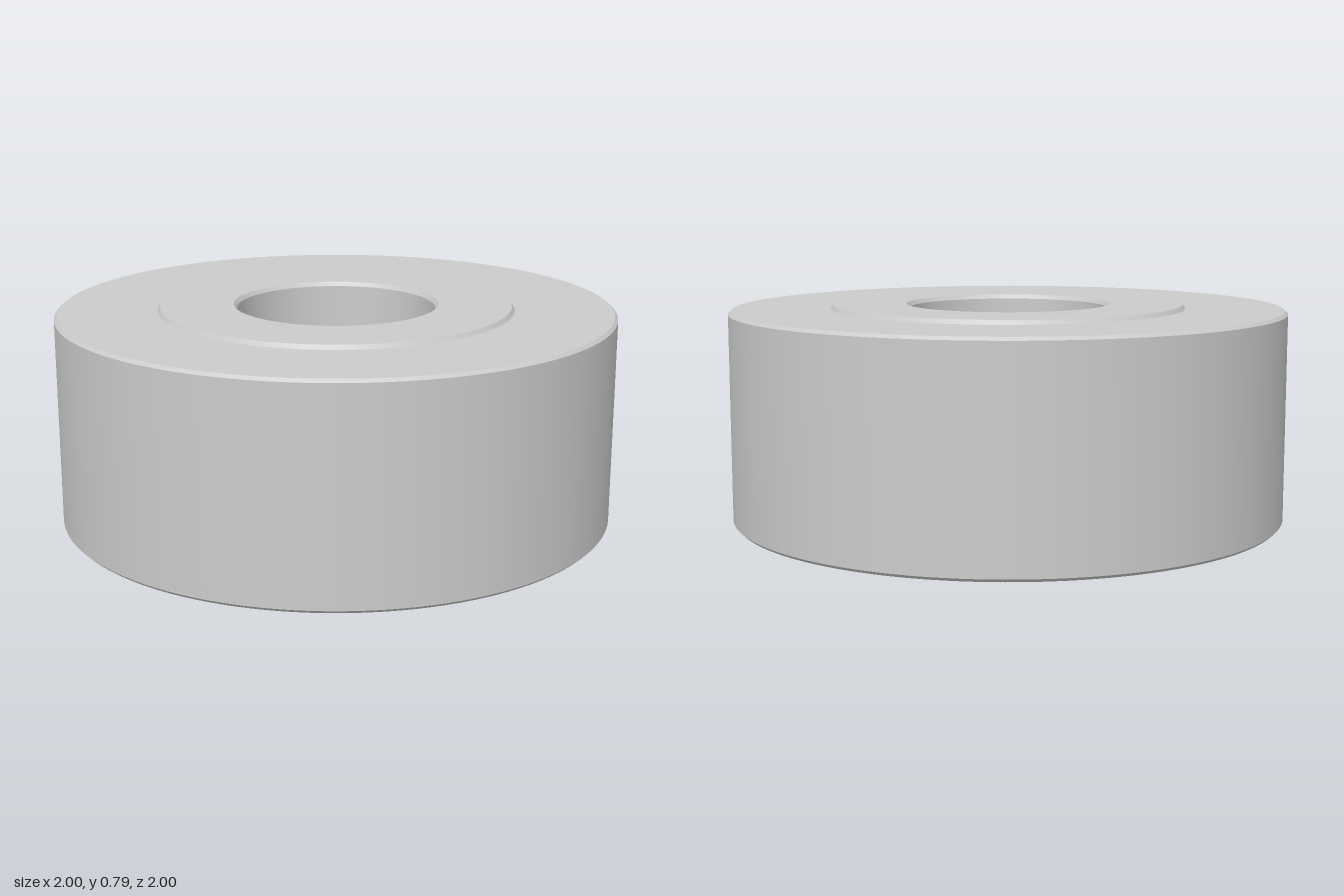
import * as THREE from 'three';
import { toCreasedNormals } from 'three/addons/utils/BufferGeometryUtils.js';

const HEIGHT = 0.79;
const STEP = 0.015;   // how far the hub faces stand proud of the rim faces
const OUTER = 1, HUB = 0.638, BORE = 0.355;
const CHAMFER = 0.011;

export function createModel() {
  const group = new THREE.Group();
  group.name = 'roller';

  // Lower half of the section, from the bore out to the rim
  const lower = [
    [BORE, CHAMFER + 0.004],
    [BORE + CHAMFER, 0],
    [HUB - 0.01, 0],
    [HUB, STEP],
    [OUTER - CHAMFER, STEP],
    [OUTER, STEP + CHAMFER],
  ];
  // Mirror it for the upper half and close the loop along the bore
  const upper = lower.map(([r, y]) => [r, HEIGHT - y]).reverse();
  const section = [...lower, ...upper, lower[0]].map(([r, y]) => new THREE.Vector2(r, y));

  // Revolved ring with sharp chamfer edges and smooth round walls
  const ring = new THREE.Mesh(
    toCreasedNormals(new THREE.LatheGeometry(section, 128), 0.4),
    new THREE.MeshStandardMaterial({ color: 0xcccccc })
  );
  ring.name = 'steppedRing';
  group.add(ring);

  return group;
}
